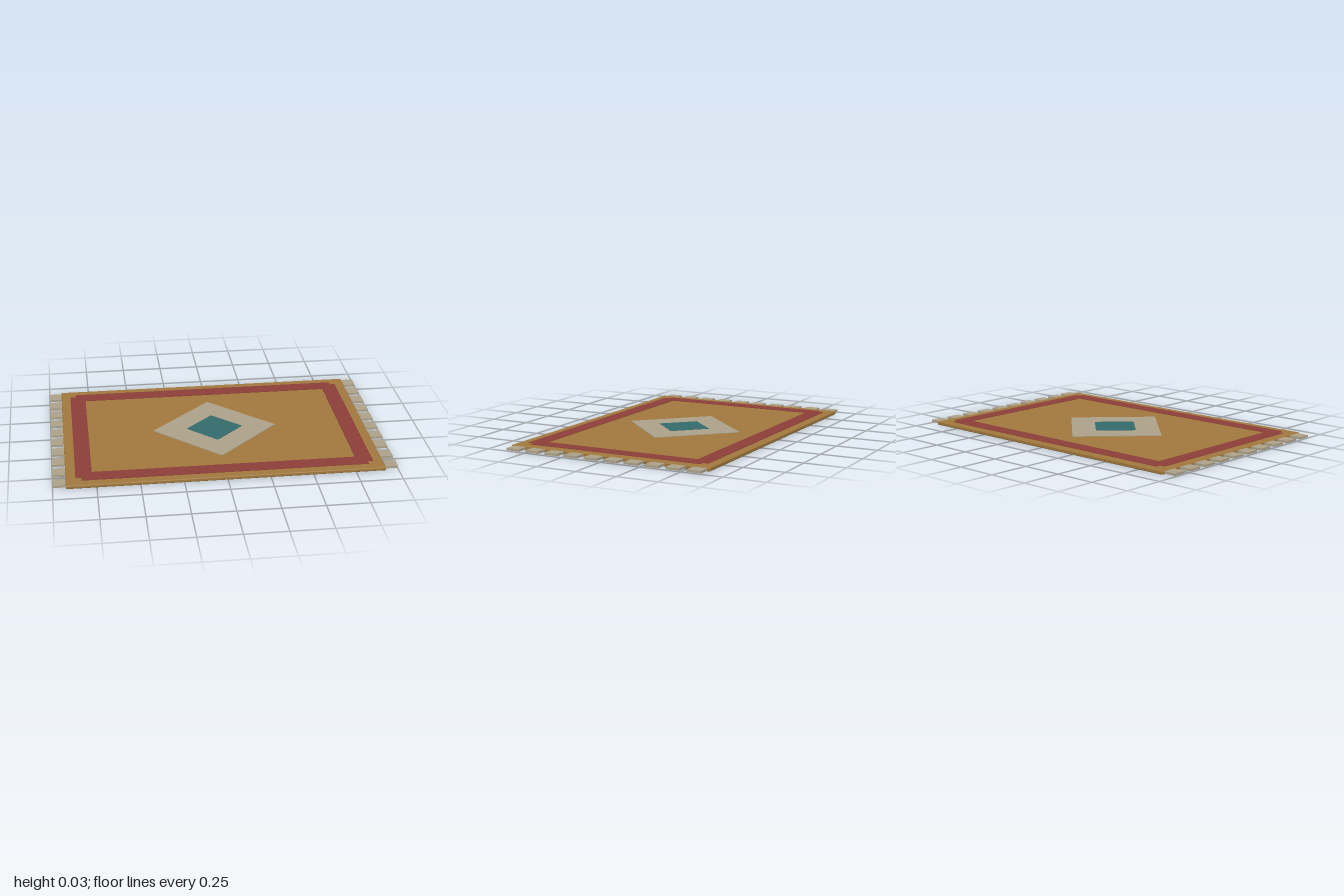
import * as THREE from 'three';
import { RoundedBoxGeometry } from 'three/addons/geometries/RoundedBoxGeometry.js';

const material = (color) => new THREE.MeshStandardMaterial({ color });

export function createModel() {
  const group = new THREE.Group();
  const ochre = material(0xa0783c);
  const red = material(0x8c3d38);
  const cream = material(0xaca189);
  const teal = material(0x346b6b);

  const add = (name, geometry, mat, x, y, z) => {
    const mesh = new THREE.Mesh(geometry, mat);
    mesh.name = name;
    mesh.position.set(x, y, z);
    group.add(mesh);
    return mesh;
  };
  // Box spanning heights y0 to y1
  const slab = (name, mat, w, d, y0, y1, x = 0, z = 0) =>
    add(name, new THREE.BoxGeometry(w, y1 - y0, d), mat, x, (y0 + y1) / 2, z);

  // Woven body with softened edges
  add('rugBody', new RoundedBoxGeometry(1.85, 0.021, 1.276, 2, 0.005), ochre, 0, 0.0105, 0);

  // Border strips and fringe tassels, mirrored
  const tassels = 10;
  for (const s of [-1, 1]) {
    slab('longBorder', red, 1.67, 0.095, 0.012, 0.0235, 0, s * 0.5355);
    slab('endBorder', red, 0.095, 1.1, 0.012, 0.0234, s * 0.8205, 0);
    for (let i = 0; i < tassels; i++) {
      const z = (i - (tassels - 1) / 2) * 0.1288;
      slab('fringeTassel', cream, 0.074, 0.085, 0.005, 0.018, s * 0.963, z);
    }
  }

  // Diamond medallion: squares turned by 45 degrees
  const diamond = (name, mat, radius, top) => {
    const side = radius * Math.SQRT2;
    slab(name, mat, side, side, 0.012, top).rotation.y = Math.PI / 4;
  };
  diamond('outerDiamond', cream, 0.376, 0.025);
  diamond('innerDiamond', teal, 0.171, 0.0268);

  return group;
}
